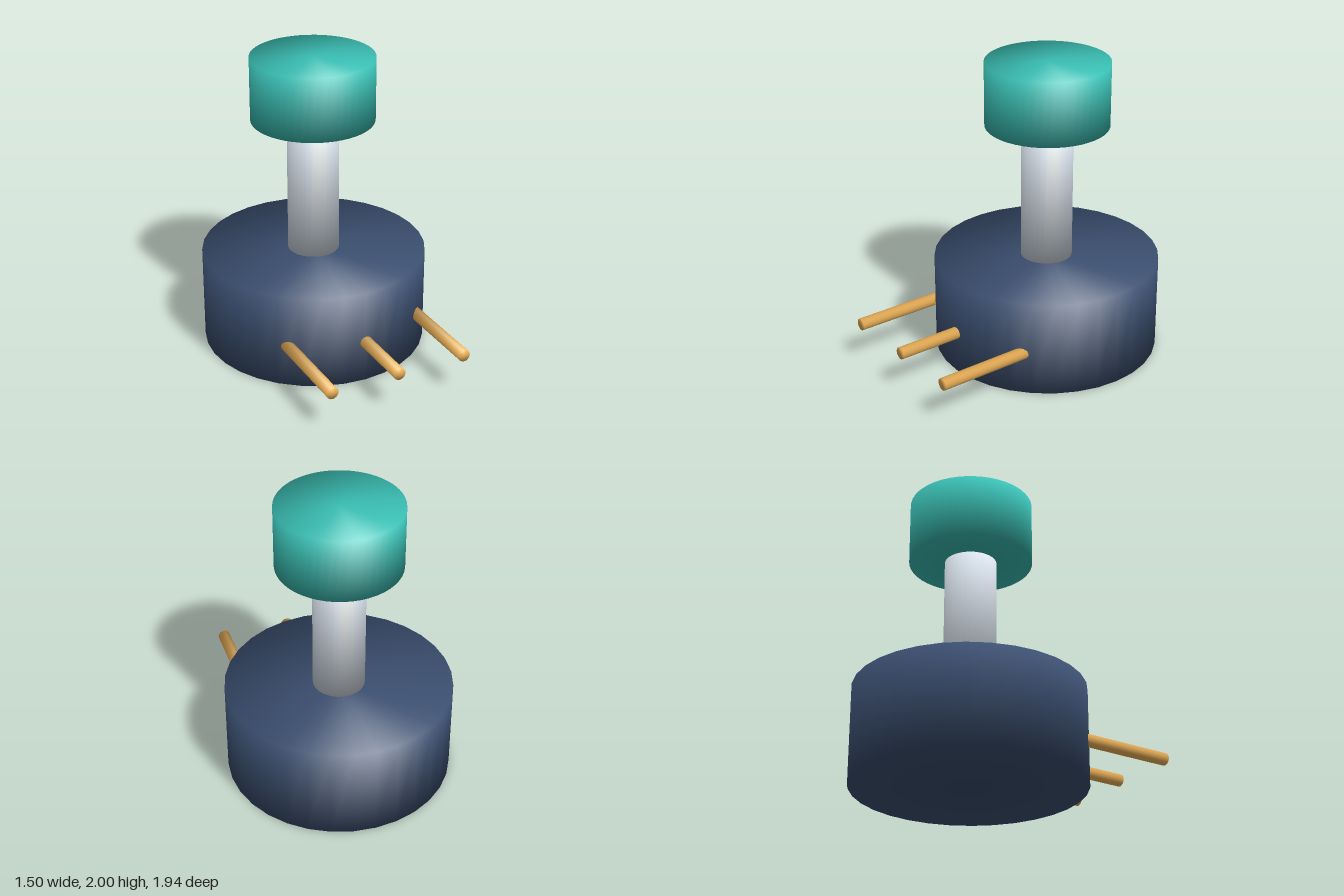
import * as THREE from 'three';

const AXIS_Z = -0.217; // body, shaft and knob share this vertical axis

// Capped cylinder whose normals blend smoothly over the rims.
function softCylinder(radius, height, sides) {
  const geo = new THREE.CylinderGeometry(radius, radius, height, sides);
  const pos = geo.attributes.position;
  const nor = geo.attributes.normal;
  for (let i = 0; i < pos.count; i++) {
    nor.setXYZ(
      i,
      (pos.getX(i) / radius) * Math.SQRT1_2,
      Math.sign(pos.getY(i)) * Math.SQRT1_2,
      (pos.getZ(i) / radius) * Math.SQRT1_2
    );
  }
  return geo;
}

function part(name, geometry, color) {
  const mesh = new THREE.Mesh(geometry, new THREE.MeshStandardMaterial({ color }));
  mesh.name = name;
  return mesh;
}

// Upright cylinder standing between two heights on the shared axis.
function upright(name, radius, y0, y1, sides, color) {
  const mesh = part(name, softCylinder(radius, y1 - y0, sides), color);
  mesh.position.set(0, (y0 + y1) / 2, AXIS_Z);
  return mesh;
}

export function createModel() {
  const model = new THREE.Group();
  model.name = 'rotaryControl';

  model.add(
    upright('body', 0.752, 0, 0.645, 32, 0x3b4f70),
    upright('shaft', 0.172, 0.645, 1.57, 32, 0xd9e2ec),
    upright('knob', 0.408, 1.57, 2, 48, 0x3abfb4)
  );

  // Three terminals reaching forward out of the body
  const pins = new THREE.Group();
  pins.name = 'terminals';
  const back = 0.2, front = 0.97;
  const names = ['rightTerminal', 'middleTerminal', 'leftTerminal'];
  names.forEach((name, i) => {
    const pin = part(name, softCylinder(0.041, front - back, 16), 0xf0b459);
    pin.rotation.x = Math.PI / 2;
    pin.position.set((i - 1) * 0.473, 0.282, (front + back) / 2);
    pins.add(pin);
  });
  model.add(pins);

  return model;
}
